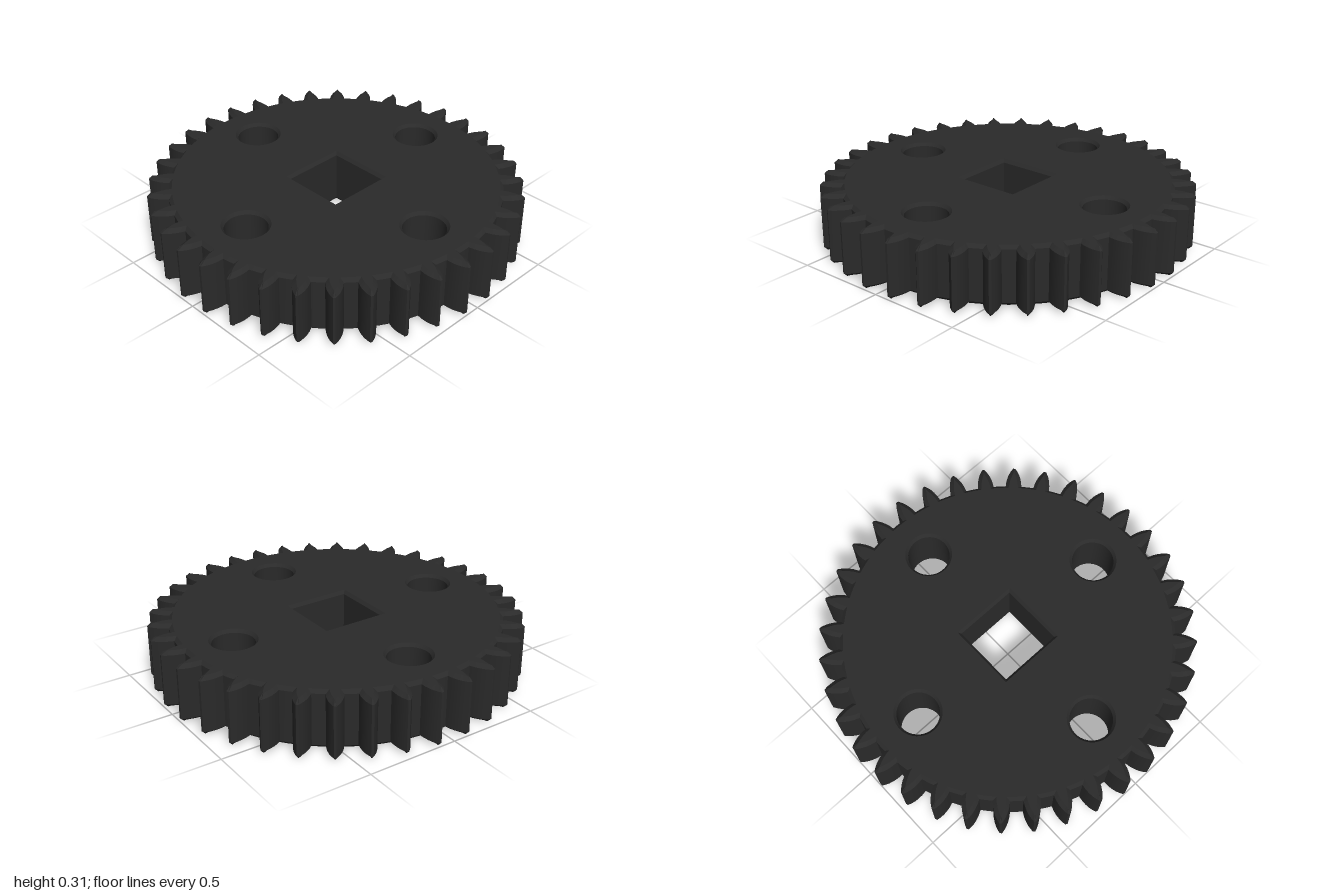
import * as THREE from 'three';
import { toCreasedNormals } from 'three/addons/utils/BufferGeometryUtils.js';

const TEETH = 36, HEIGHT = 0.315, CHAMFER = 0.018;
const ROOT = 0.89, HOLE_RADIUS = 0.113, HOLE_OFFSET = 0.632, BORE = 0.174;

// Half of a tooth: [radius, half width], root to tip
const FLANK = [[ROOT, 0.044], [0.92, 0.041], [0.945, 0.035], [0.967, 0.027], [0.986, 0.017], [1.002, 0.006]];

// Toothed outline, counter-clockwise, shrunk by inset
function gearOutline(inset) {
  const points = [];
  const add = (r, angle) => points.push(new THREE.Vector2(r * Math.cos(angle), r * Math.sin(angle)));
  const pitch = 2 * Math.PI / TEETH;
  for (let i = 0; i < TEETH; i++) {
    const middle = (i + 0.5) * pitch;
    const side = FLANK.map(([r, w]) => [r - inset, Math.max(w - inset, 0.002) / r]);
    add(ROOT - inset, middle - pitch / 2);
    side.forEach(([r, a]) => add(r, middle - a));
    side.reverse().forEach(([r, a]) => add(r, middle + a));
  }
  return points;
}

// Hole outlines, clockwise so that their walls face inwards
function circleOutline(x, y, r) {
  return Array.from({ length: 40 }, (_, i) => {
    const a = -i / 40 * 2 * Math.PI;
    return new THREE.Vector2(x + r * Math.cos(a), y + r * Math.sin(a));
  });
}

function squareOutline(h) {
  return [[h, h], [h, -h], [-h, -h], [-h, h]].map(([x, y]) => new THREE.Vector2(x, y));
}

// Wall with chamfered top and bottom edges
function chamferedWall(edge, body) {
  const rings = [[edge, 0], [body, CHAMFER], [body, HEIGHT - CHAMFER], [edge, HEIGHT]];
  const n = edge.length, positions = [], indices = [];
  for (const [ring, y] of rings) for (const p of ring) positions.push(p.x, y, -p.y);
  for (let k = 0; k < rings.length - 1; k++) {
    for (let i = 0; i < n; i++) {
      const a = k * n + i, b = k * n + (i + 1) % n;
      indices.push(a, b, b + n, a, b + n, a + n);
    }
  }
  const geometry = new THREE.BufferGeometry();
  geometry.setAttribute('position', new THREE.Float32BufferAttribute(positions, 3));
  geometry.setIndex(indices);
  return toCreasedNormals(geometry, Math.PI / 6);
}

export function createModel() {
  const group = new THREE.Group();
  group.name = 'spurGear';
  const material = new THREE.MeshStandardMaterial({ color: 0x2a2a2a });
  const add = (name, geometry) => {
    const mesh = new THREE.Mesh(geometry, material);
    mesh.name = name;
    group.add(mesh);
    return mesh;
  };

  // Toothed rim
  const rimEdge = gearOutline(CHAMFER);
  add('toothedRim', chamferedWall(rimEdge, gearOutline(0)));
  const face = new THREE.Shape(rimEdge);

  // Square shaft bore
  const boreEdge = squareOutline(BORE + CHAMFER * 0.8);
  add('squareBore', chamferedWall(boreEdge, squareOutline(BORE)));
  face.holes.push(new THREE.Path(boreEdge));

  // Four round holes
  for (let i = 0; i < 4; i++) {
    const x = HOLE_OFFSET * Math.cos(i * Math.PI / 2), y = HOLE_OFFSET * Math.sin(i * Math.PI / 2);
    const edge = circleOutline(x, y, HOLE_RADIUS + CHAMFER * 0.8);
    add('boltHole' + (i + 1), chamferedWall(edge, circleOutline(x, y, HOLE_RADIUS)));
    face.holes.push(new THREE.Path(edge));
  }

  // Flat faces
  const flat = new THREE.ShapeGeometry(face);
  const top = add('topFace', flat.clone().rotateX(-Math.PI / 2));
  top.position.y = HEIGHT;
  add('bottomFace', flat.clone().rotateX(Math.PI / 2));

  return group;
}
